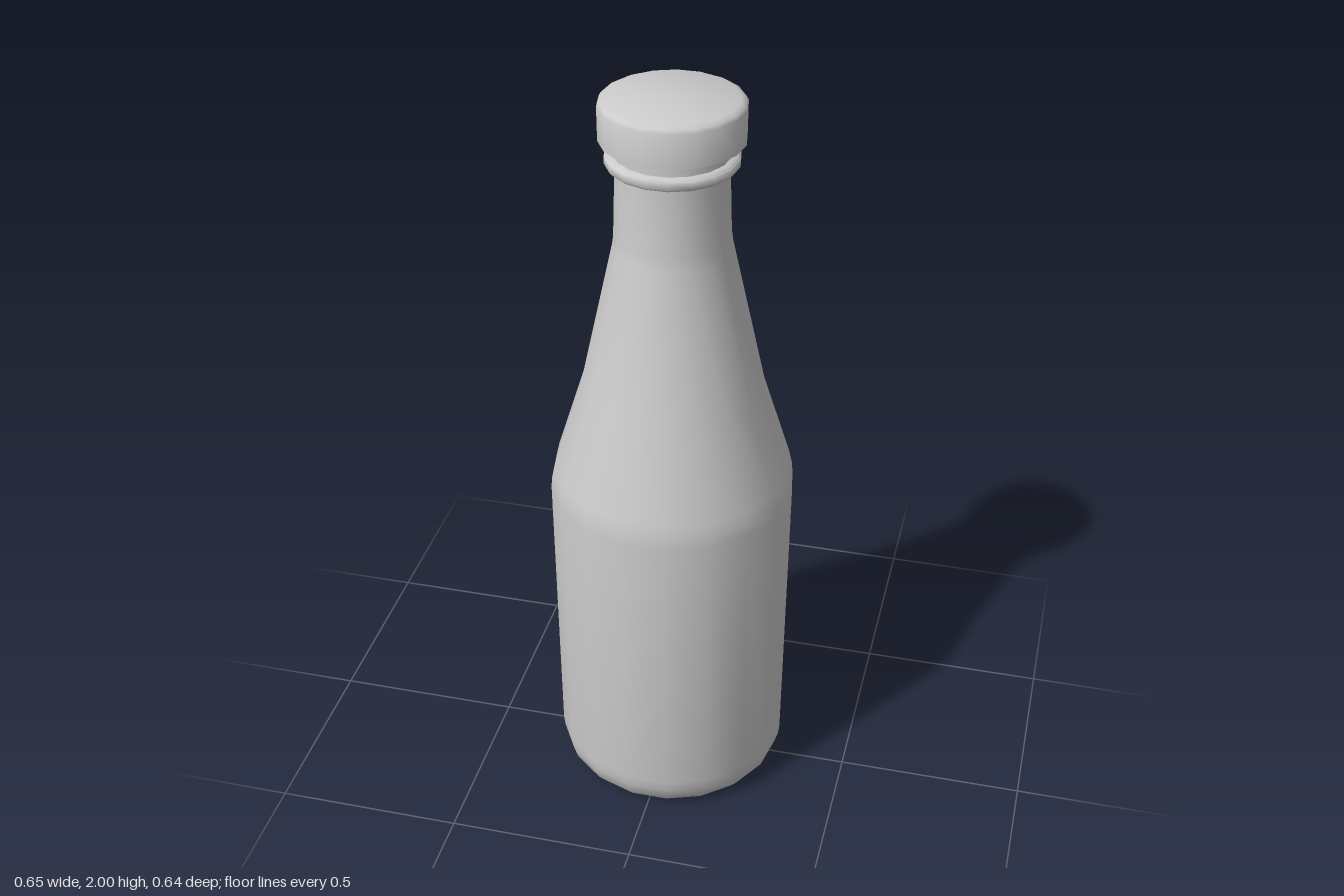
import * as THREE from 'three';
import { toCreasedNormals } from 'three/addons/utils/BufferGeometryUtils.js';

const SIDES = 18;
const material = new THREE.MeshStandardMaterial({ color: 0xcccccc });

// Turns a bottom-to-top [radius, height] profile, with a corner on the x axis.
function turned(name, profile, crease) {
  const points = profile.map(([r, y]) => new THREE.Vector2(r, y));
  const lathe = new THREE.LatheGeometry(points, SIDES, Math.PI / 2);
  const mesh = new THREE.Mesh(toCreasedNormals(lathe, crease), material);
  mesh.name = name;
  return mesh;
}

export function createModel() {
  const group = new THREE.Group();
  group.name = 'bottle';

  // Body: rounded foot, slightly flared wall, sloping shoulder and slim neck
  group.add(turned('body', [
    [0, 0], [0.255, 0], [0.28, 0.01], [0.3, 0.035], [0.311, 0.07], [0.314, 0.1],
    [0.323, 0.905], [0.32, 0.935], [0.312, 0.97],
    [0.238, 1.21], [0.151, 1.61], [0.147, 1.64], [0.141, 1.83],
  ], 0.8));

  // Ring below the cap
  group.add(turned('neckRing', [
    [0.135, 1.828], [0.162, 1.828], [0.167, 1.834], [0.167, 1.852], [0.162, 1.858], [0.135, 1.858],
  ], 0.9));

  // Mouth between ring and cap
  group.add(turned('mouth', [[0.146, 1.855], [0.146, 1.9]], 0.6));

  // Cap: flat underside, straight skirt, bevelled and barely domed top
  group.add(turned('cap', [
    [0, 1.893], [0.181, 1.893], [0.182, 1.982], [0.177, 1.991], [0.165, 1.997], [0, 2],
  ], 0.9));

  return group;
}
